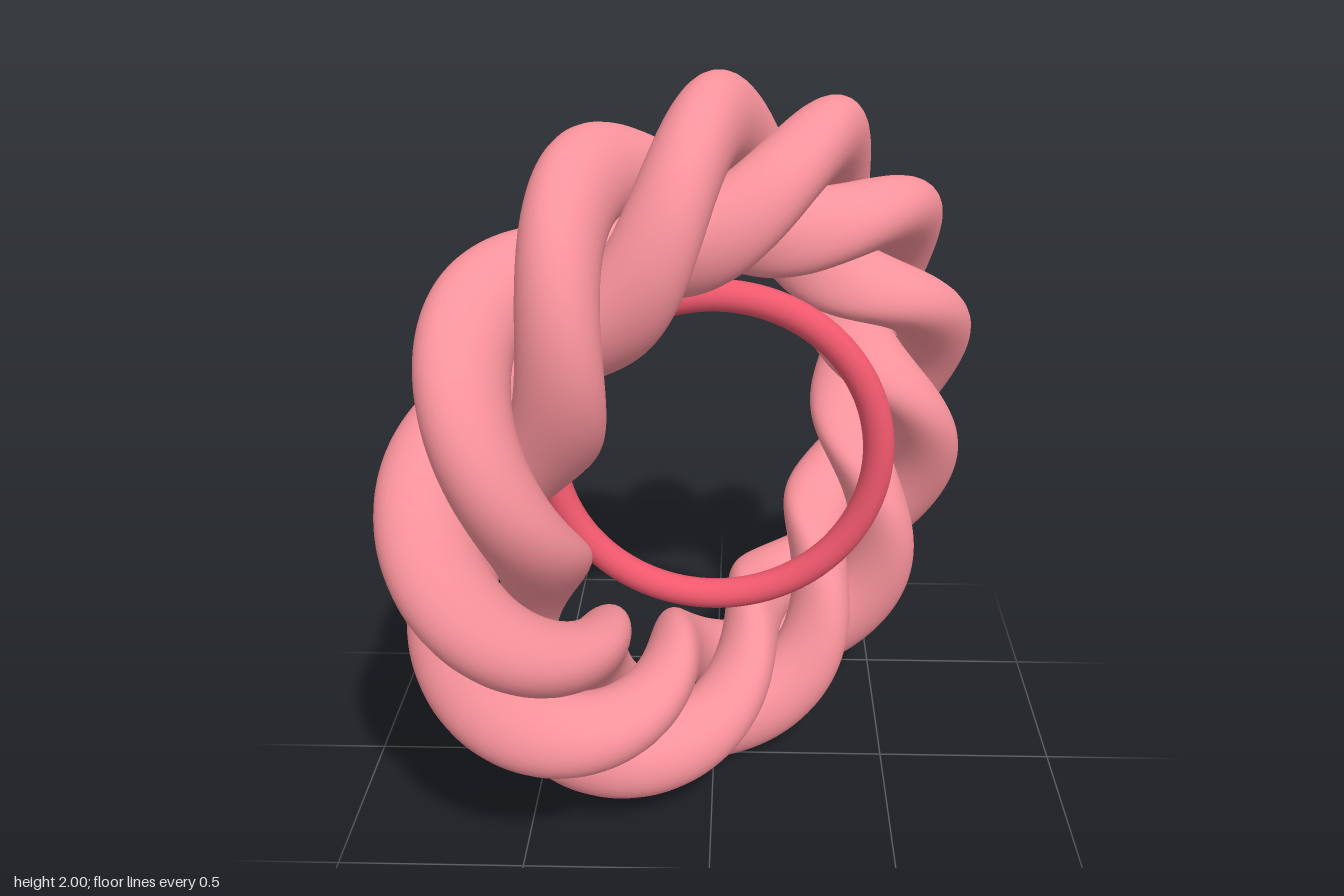
import * as THREE from 'three';
import { ParametricGeometry } from 'three/addons/geometries/ParametricGeometry.js';

const STRANDS = 3;
const TWISTS = 4;      // turns of each strand around the wreath core
const CORE = 0.742;    // radius of the wreath core circle
const OFFSET = 0.14;   // distance of a strand from the core
const THICK = 0.118;   // strand radius, measured in the plane through the wreath axis
const DEPTH = 0.88;    // the wreath is slightly flatter than it is wide

// One closed strand: a disc in the plane through the wreath axis, twisted around the core
function strandGeometry(phase) {
  const surface = (u, v, target) => {
    const phi = u * Math.PI * 2;
    const alpha = v * Math.PI * 2;
    const theta = TWISTS * (phi - Math.PI / 2) + phase;
    const rho = CORE + OFFSET * Math.cos(theta) + THICK * Math.cos(alpha);
    const depth = DEPTH * (OFFSET * Math.sin(theta) + THICK * Math.sin(alpha));
    target.set(rho * Math.cos(phi), rho * Math.sin(phi), depth);
  };
  return new ParametricGeometry(surface, 320, 32);
}

export function createModel() {
  const model = new THREE.Group();
  model.name = 'twistedWreath';

  // Rope wreath: intertwined strands, turned 45 degrees about the vertical
  const wreath = new THREE.Group();
  wreath.name = 'wreath';
  const strandMaterial = new THREE.MeshStandardMaterial({ color: 0xfa939c });
  for (let i = 0; i < STRANDS; i++) {
    const strand = new THREE.Mesh(strandGeometry((i * Math.PI * 2) / STRANDS), strandMaterial);
    strand.name = `strand${i + 1}`;
    wreath.add(strand);
  }
  wreath.position.y = 1;
  wreath.rotation.y = Math.PI / 4;
  model.add(wreath);

  // Thin plain ring facing the front, inside the wreath
  const ring = new THREE.Mesh(
    new THREE.TorusGeometry(0.443, 0.042, 24, 128),
    new THREE.MeshStandardMaterial({ color: 0xf0586d })
  );
  ring.name = 'innerRing';
  ring.position.y = 1;
  model.add(ring);

  return model;
}
